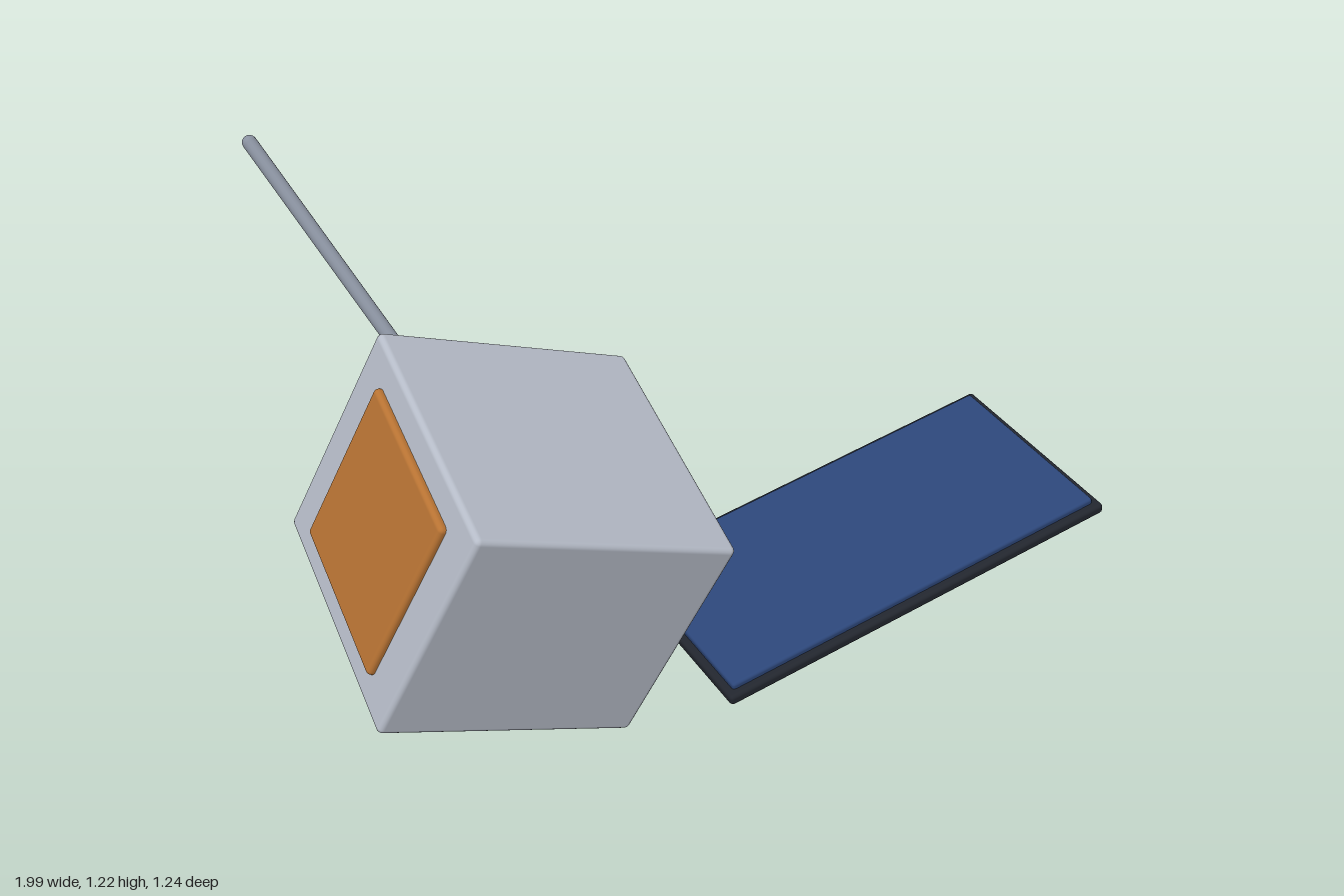
import * as THREE from 'three';
import { RoundedBoxGeometry } from 'three/addons/geometries/RoundedBoxGeometry.js';

const mat = (name, color) => {
  const m = new THREE.MeshStandardMaterial({ color });
  m.name = name;
  return m;
};

// Group placed at a centre and turned so its local x and y follow the given directions
function frame(name, centre, xDir, yDir) {
  const x = new THREE.Vector3(...xDir).normalize();
  const z = x.clone().cross(new THREE.Vector3(...yDir)).normalize();
  const y = z.clone().cross(x);
  const g = new THREE.Group();
  g.name = name;
  g.quaternion.setFromRotationMatrix(new THREE.Matrix4().makeBasis(x, y, z));
  g.position.set(...centre);
  return g;
}

function block(name, size, radius, material, pos) {
  const mesh = new THREE.Mesh(new RoundedBoxGeometry(...size, 2, radius), material);
  mesh.name = name;
  mesh.position.set(...pos);
  return mesh;
}

export function createModel() {
  const silver = mat('silver', 0xb6bcc8);
  const copper = mat('copper', 0xb87333);
  const blue = mat('cell blue', 0x2c4679);
  const dark = mat('frame black', 0x22262e);
  const steel = mat('steel', 0x8a92a0);
  const model = new THREE.Group();
  model.name = 'brokenSatellite';

  // Tilted body with a copper plate on each side
  const body = frame('body', [-0.405, 0.46, 0.165], [0.52, -0.22, -0.3], [0.24, 0.52, 0.04]);
  body.add(block('hull', [0.645, 0.58, 0.655], 0.014, silver, [0, 0, 0]));
  for (const side of [-1, 1]) {
    body.add(block(side < 0 ? 'rightPlate' : 'leftPlate', [0.04, 0.44, 0.445], 0.012, copper,
      [side * 0.319, 0, 0]));
  }
  model.add(body);

  // Snapped solar panel: dark backing with an inset blue cell sheet
  const panel = frame('solarPanel', [0.41, 0.257, -0.135], [0.89, 0.187, -0.52], [-0.103, 0.979, 0.171]);
  panel.add(block('backing', [1.052, 0.028, 0.53], 0.01, dark, [0, 0, 0]));
  panel.add(block('cells', [1.015, 0.03, 0.492], 0.008, blue, [0, 0.014, 0]));
  model.add(panel);

  // Antenna rod leaning out of the back face
  const base = new THREE.Vector3(-0.61, 0.77, -0.025);
  const tip = new THREE.Vector3(-0.983, 1.218, -0.274);
  const axis = tip.clone().sub(base);
  const antenna = new THREE.Mesh(new THREE.CapsuleGeometry(0.017, axis.length(), 4, 16), steel);
  antenna.name = 'antenna';
  antenna.position.copy(base).add(tip).multiplyScalar(0.5);
  antenna.quaternion.setFromUnitVectors(new THREE.Vector3(0, 1, 0), axis.normalize());
  model.add(antenna);

  return model;
}
